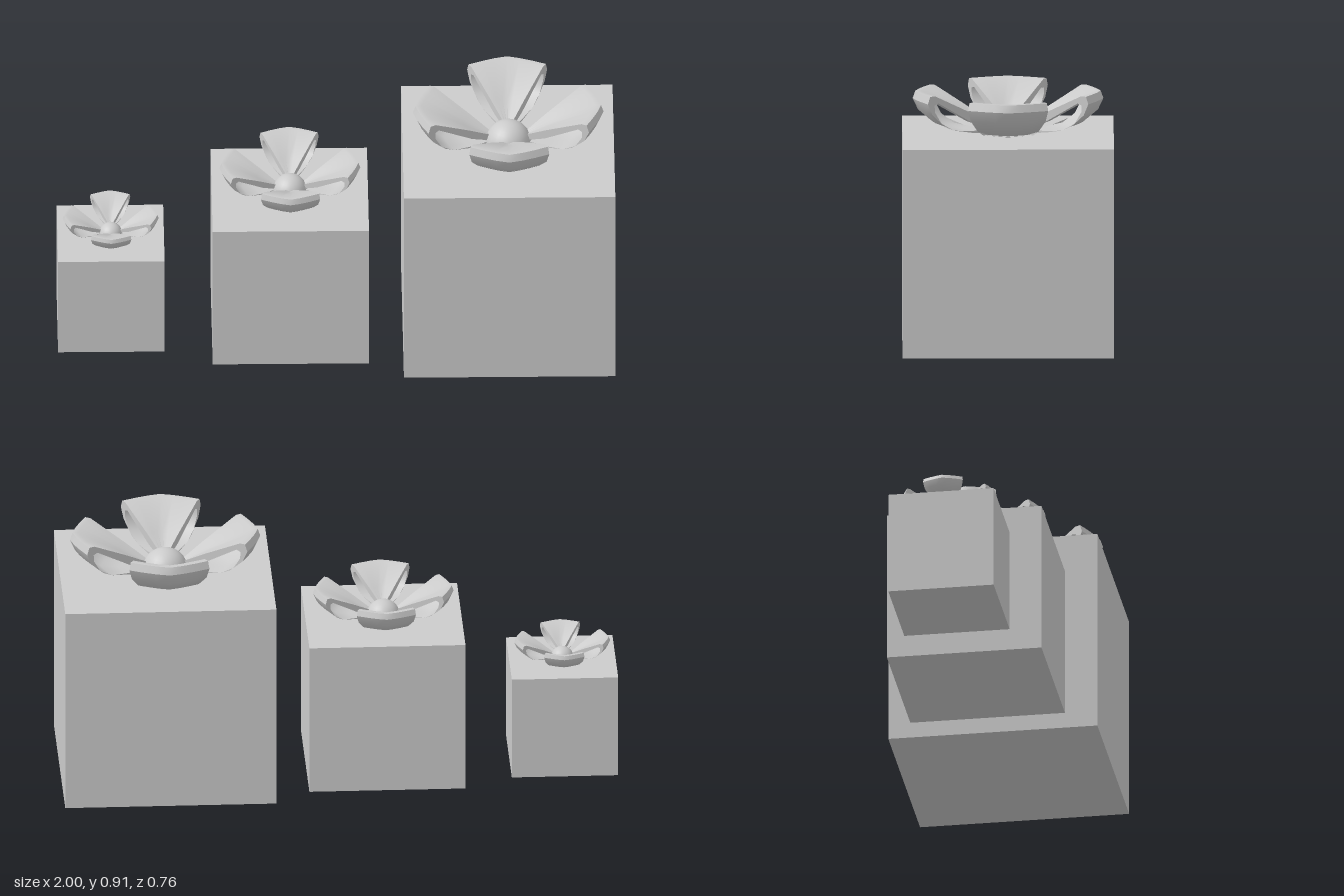
import * as THREE from 'three';
import { toCreasedNormals } from 'three/addons/utils/BufferGeometryUtils.js';

const material = new THREE.MeshStandardMaterial({ color: 0xcccccc });

// Ribbon loop seen from its open side: [distance from bow centre, height]
const OUTER = [[0.05, 0], [0.13, 0.008], [0.227, 0.04], [0.272, 0.085], [0.288, 0.126],
  [0.28, 0.153], [0.262, 0.153], [0.137, 0.083], [0.05, 0.03]];
const INNER = [[0.075, 0.013], [0.14, 0.015], [0.195, 0.022], [0.24, 0.052], [0.263, 0.095],
  [0.264, 0.12], [0.25, 0.126], [0.13, 0.045], [0.075, 0.02]];

// Fan the loop sideways (u from -1 to 1), bulging outward along its middle
function loopPoint([d, y], u) {
  return [u * 0.58 * (d - 0.04), y, d * (1 + 0.19 * (1 - Math.abs(u) ** 1.3))];
}

function makeLoopGeometry() {
  const positions = [];
  const quad = (a, b, c, d) => positions.push(...a, ...b, ...c, ...a, ...c, ...d);
  const n = OUTER.length;
  const segments = 6;
  for (let i = 0; i < n; i++) {
    const j = (i + 1) % n;
    // outside and inside of the ribbon
    for (let s = 0; s < segments; s++) {
      const u = -1 + (2 * s) / segments;
      const v = -1 + (2 * (s + 1)) / segments;
      quad(loopPoint(OUTER[i], u), loopPoint(OUTER[i], v), loopPoint(OUTER[j], v), loopPoint(OUTER[j], u));
      quad(loopPoint(INNER[i], u), loopPoint(INNER[j], u), loopPoint(INNER[j], v), loopPoint(INNER[i], v));
    }
    // ribbon edges on both open sides
    quad(loopPoint(OUTER[i], 1), loopPoint(INNER[i], 1), loopPoint(INNER[j], 1), loopPoint(OUTER[j], 1));
    quad(loopPoint(OUTER[i], -1), loopPoint(OUTER[j], -1), loopPoint(INNER[j], -1), loopPoint(INNER[i], -1));
  }
  const geometry = new THREE.BufferGeometry();
  geometry.setAttribute('position', new THREE.Float32BufferAttribute(positions, 3));
  return toCreasedNormals(geometry, 0.7);
}

function part(name, geometry) {
  const mesh = new THREE.Mesh(geometry, material);
  mesh.name = name;
  return mesh;
}

// Full-size gift: a cube with a four-loop bow on top
const SIZE = 0.76;

function makeGift(name, size, x, loopGeometry) {
  const gift = new THREE.Group();
  gift.name = name;

  const box = part('box', new THREE.BoxGeometry(SIZE, SIZE, SIZE));
  box.position.y = SIZE / 2;
  gift.add(box);

  const bow = new THREE.Group();
  bow.name = 'bow';
  bow.position.y = SIZE;
  for (let k = 0; k < 4; k++) {
    const loop = part('bowLoop', loopGeometry);
    loop.rotation.y = (k * Math.PI) / 2;
    bow.add(loop);
  }
  // domed knot
  bow.add(part('bowKnot', new THREE.SphereGeometry(0.083, 20, 10, 0, Math.PI * 2, 0, Math.PI / 2)));
  gift.add(bow);

  gift.scale.setScalar(size / SIZE);
  gift.position.x = x;
  return gift;
}

export function createModel() {
  const model = new THREE.Group();
  model.name = 'giftBoxes';
  const loopGeometry = makeLoopGeometry();
  model.add(
    makeGift('smallGift', 0.383, -0.809, loopGeometry),
    makeGift('mediumGift', 0.562, -0.165, loopGeometry),
    makeGift('largeGift', 0.76, 0.62, loopGeometry),
  );
  return model;
}
